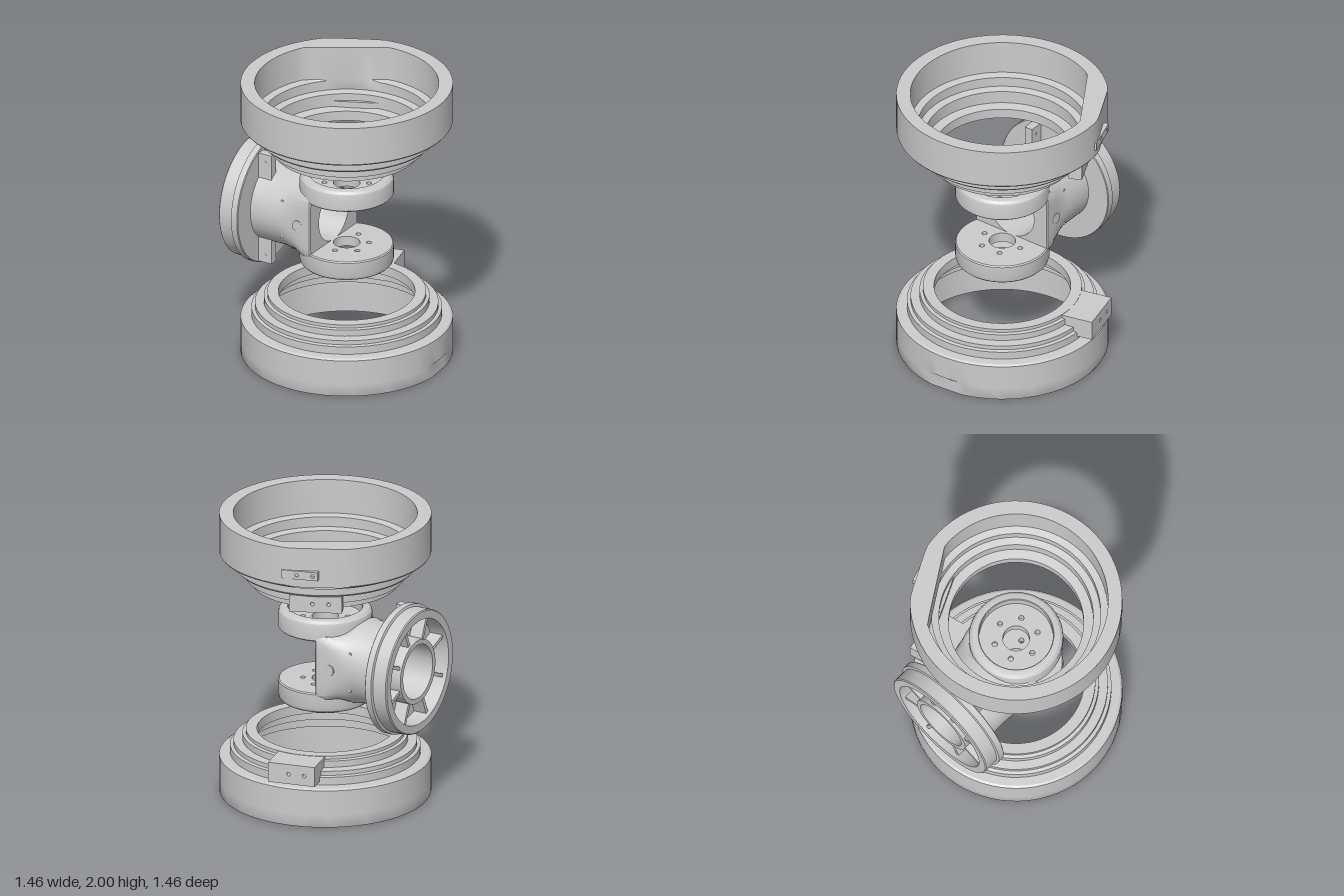
import * as THREE from 'three';
import { toCreasedNormals } from 'three/addons/utils/BufferGeometryUtils.js';

const CX = 0.012, CZ = 0.022, CY = 0.998;
const mat = new THREE.MeshStandardMaterial({ color: 0xcccccc, side: THREE.DoubleSide });

function add(parent, name, geo, x = 0, y = 0, z = 0) {
  const m = new THREE.Mesh(geo, mat);
  m.name = name;
  m.position.set(x, y, z);
  parent.add(m);
  return m;
}

// Closed profile of [radius, height], turned around y
function turned(profile, segments = 72) {
  const pts = [...profile, profile[0]].map(p => new THREE.Vector2(...p));
  return new THREE.LatheGeometry(pts, segments);
}
const crease = geo => toCreasedNormals(geo, 0.5);

// Presses chosen vertices back to a plane, leaving a flat on a round wall
function flatten(geo, nx, nz, dist, test) {
  const p = geo.attributes.position;
  const len = Math.hypot(nx, nz);
  for (let i = 0; i < p.count; i++) {
    const x = p.getX(i), y = p.getY(i), z = p.getZ(i);
    const d = (x * nx + z * nz) / len;
    if (d > dist && test(Math.hypot(x, z), y)) p.setXYZ(i, x * dist / d, y, z * dist / d);
  }
  return geo;
}

function circleHole(shape, x, y, r) {
  const h = new THREE.Path();
  h.absarc(x, y, r, 0, Math.PI * 2, true);
  shape.holes.push(h);
}

// Block with two screw holes, facing outward along (nx, nz)
function tab(parent, name, nx, nz, dist, y, w, h, depth) {
  const s = new THREE.Shape();
  s.moveTo(-w / 2, -h / 2);
  s.lineTo(w / 2, -h / 2);
  s.lineTo(w / 2, h / 2);
  s.lineTo(-w / 2, h / 2);
  s.closePath();
  for (const k of [-0.02, 0.09]) circleHole(s, k, 0, 0.013);
  const g = new THREE.ExtrudeGeometry(s, { depth, bevelEnabled: false, curveSegments: 8 });
  g.translate(0, 0, dist - depth);
  add(parent, name, g, CX, y, CZ).rotation.y = Math.atan2(nx, nz);
}

// Skin through sections [x, half depth, half height, exponent] along x
function loft(sections, n = 64) {
  const pos = [], idx = [];
  for (const [x, a, b, p] of sections) {
    for (let j = 0; j < n; j++) {
      const t = j / n * Math.PI * 2, c = Math.cos(t), s = Math.sin(t);
      const r = Math.pow(Math.pow(Math.abs(c) / a, p) + Math.pow(Math.abs(s) / b, p), -1 / p);
      pos.push(x, r * s, r * c);
    }
  }
  for (let k = 0; k < sections.length - 1; k++) {
    for (let j = 0; j < n; j++) {
      const a = k * n + j, c = k * n + (j + 1) % n;
      idx.push(a, a + n, c, c, a + n, c + n);
    }
  }
  const g = new THREE.BufferGeometry();
  g.setAttribute('position', new THREE.Float32BufferAttribute(pos, 3));
  g.setIndex(idx);
  return g;
}

export function createModel() {
  const model = new THREE.Group();

  // Upper stepped housing, with a flat pressed into its back
  const upper = new THREE.Group();
  upper.name = 'upperHousing';
  model.add(upper);
  const upperGeo = turned([
    [0.455, 1.5], [0.492, 1.5], [0.492, 1.54], [0.538, 1.55], [0.538, 1.615], [0.6, 1.62],
    [0.615, 1.635], [0.615, 1.685], [0.642, 1.69], [0.642, 1.715], [0.708, 1.72], [0.715, 1.73],
    [0.715, 2], [0.62, 2], [0.62, 1.76], [0.57, 1.75], [0.57, 1.68], [0.52, 1.67],
    [0.52, 1.58], [0.455, 1.57]]);
  flatten(upperGeo, -0.53, -0.85, 0.55, (r, y) => r < 0.63 && y > 1.74);
  flatten(upperGeo, -0.45, -0.89, 0.69, r => r > 0.7);
  add(upper, 'upperRing', crease(upperGeo), CX, 0, CZ);
  tab(upper, 'upperTab', -0.42, -0.9, 0.585, 1.56, 0.36, 0.12, 0.09);
  tab(upper, 'upperPad', -0.3, -0.95, 0.715, 1.81, 0.25, 0.06, 0.06);

  // Lower stepped housing
  const lower = new THREE.Group();
  lower.name = 'lowerHousing';
  model.add(lower);
  const lowerGeo = turned([
    [0.62, 0], [0.71, 0], [0.715, 0.01], [0.715, 0.09], [0.715, 0.1], [0.715, 0.265], [0.7, 0.275],
    [0.642, 0.28], [0.642, 0.335], [0.618, 0.34], [0.618, 0.37], [0.558, 0.375], [0.558, 0.42],
    [0.535, 0.425], [0.535, 0.448], [0.46, 0.448], [0.46, 0.38], [0.52, 0.37], [0.52, 0.31],
    [0.57, 0.3], [0.57, 0.24], [0.62, 0.23]]);
  flatten(lowerGeo, 1, -0.08, 0.7, (r, y) => r > 0.7 && y < 0.095);
  add(lower, 'lowerRing', crease(lowerGeo), CX, 0, CZ);
  tab(lower, 'lowerTab', -0.23, -0.97, 0.73, 0.375, 0.33, 0.14, 0.22);

  // Yoke between the housings, axis along x
  const yoke = new THREE.Group();
  yoke.name = 'yoke';
  yoke.position.set(0, CY, CZ);
  model.add(yoke);

  // Hub, neck and bridge with a through bore
  const B = 0.19;
  add(yoke, 'neckAndBridge', crease(loft([
    [-0.72, B, B, 2], [-0.72, 0.225, 0.225, 2], [-0.6, 0.225, 0.225, 2], [-0.6, 0.285, 0.285, 2],
    [-0.36, 0.285, 0.285, 2], [-0.3, 0.285, 0.285, 2.4], [-0.23, 0.29, 0.245, 4],
    [-0.17, 0.298, 0.24, 8], [-0.1, 0.302, 0.24, 12], [-0.09, 0.295, 0.235, 12],
    [-0.09, B, B, 2], [-0.72, B, B, 2]])));

  // Flange, open and ribbed at the back
  const flange = new THREE.Group();
  flange.name = 'flange';
  yoke.add(flange);
  const rim = turned([
    [0.2, -0.61], [0.37, -0.61], [0.37, -0.735], [0.425, -0.735], [0.432, -0.728], [0.432, -0.63],
    [0.45, -0.625], [0.45, -0.58], [0.445, -0.575], [0.2, -0.575]]);
  // Profile walks clockwise at the back, so the order of corners is already outward
  rim.rotateZ(-Math.PI / 2);
  add(flange, 'flangeRim', crease(rim));
  for (let i = 0; i < 8; i++) {
    const rib = new THREE.BoxGeometry(0.1, 0.17, 0.025);
    rib.translate(-0.655, 0.295, 0);
    rib.rotateX((i + 0.5) * Math.PI / 4);
    add(flange, 'flangeRib', rib);
  }
  for (const s of [1, -1]) {
    add(flange, 'flangeEar', new THREE.BoxGeometry(0.11, 0.2, 0.06), -0.53, s * 0.302, 0.148);
    const screw = new THREE.CylinderGeometry(0.011, 0.011, 0.065, 8).rotateX(Math.PI / 2);
    add(flange, 'earScrew', screw, -0.525, s * 0.345, 0.148);
  }

  // Pivot pin and small screws on both sides of the neck
  for (const s of [1, -1]) {
    const pin = new THREE.CylinderGeometry(0.04, 0.04, 0.08, 24).rotateX(Math.PI / 2);
    add(yoke, 'sidePin', pin, -0.195, 0, s * 0.26);
    for (const y of [0.13, -0.13]) {
      const screw = new THREE.CylinderGeometry(0.012, 0.012, 0.05, 8).rotateX(Math.PI / 2);
      add(yoke, 'neckScrew', screw, -0.34, y, s * 0.235);
    }
  }

  // Two round arms: drilled plate with a raised rounded rim
  for (const s of [1, -1]) {
    const arm = new THREE.Group();
    arm.name = s > 0 ? 'upperArm' : 'lowerArm';
    arm.position.x = CX;
    if (s < 0) arm.rotation.x = Math.PI;
    yoke.add(arm);
    const disc = new THREE.Shape();
    disc.absarc(0, 0, 0.25, 0, Math.PI * 2, false);
    circleHole(disc, 0, 0, 0.09);
    for (let i = 0; i < 6; i++) {
      const t = Math.PI / 2 + i * Math.PI / 3;
      circleHole(disc, 0.15 * Math.cos(t), 0.15 * Math.sin(t), 0.018);
    }
    const plate = new THREE.ExtrudeGeometry(disc, { depth: 0.07, bevelEnabled: false, curveSegments: 24 });
    plate.rotateX(-Math.PI / 2);
    add(arm, 'armPlate', plate, 0, 0.187, 0);
    add(arm, 'armRim', crease(turned([
      [0.25, 0.187], [0.31, 0.187], [0.318, 0.195], [0.318, 0.29], [0.312, 0.312], [0.296, 0.328],
      [0.275, 0.333], [0.255, 0.333], [0.25, 0.328]], 48)));
  }
  return model;
}
